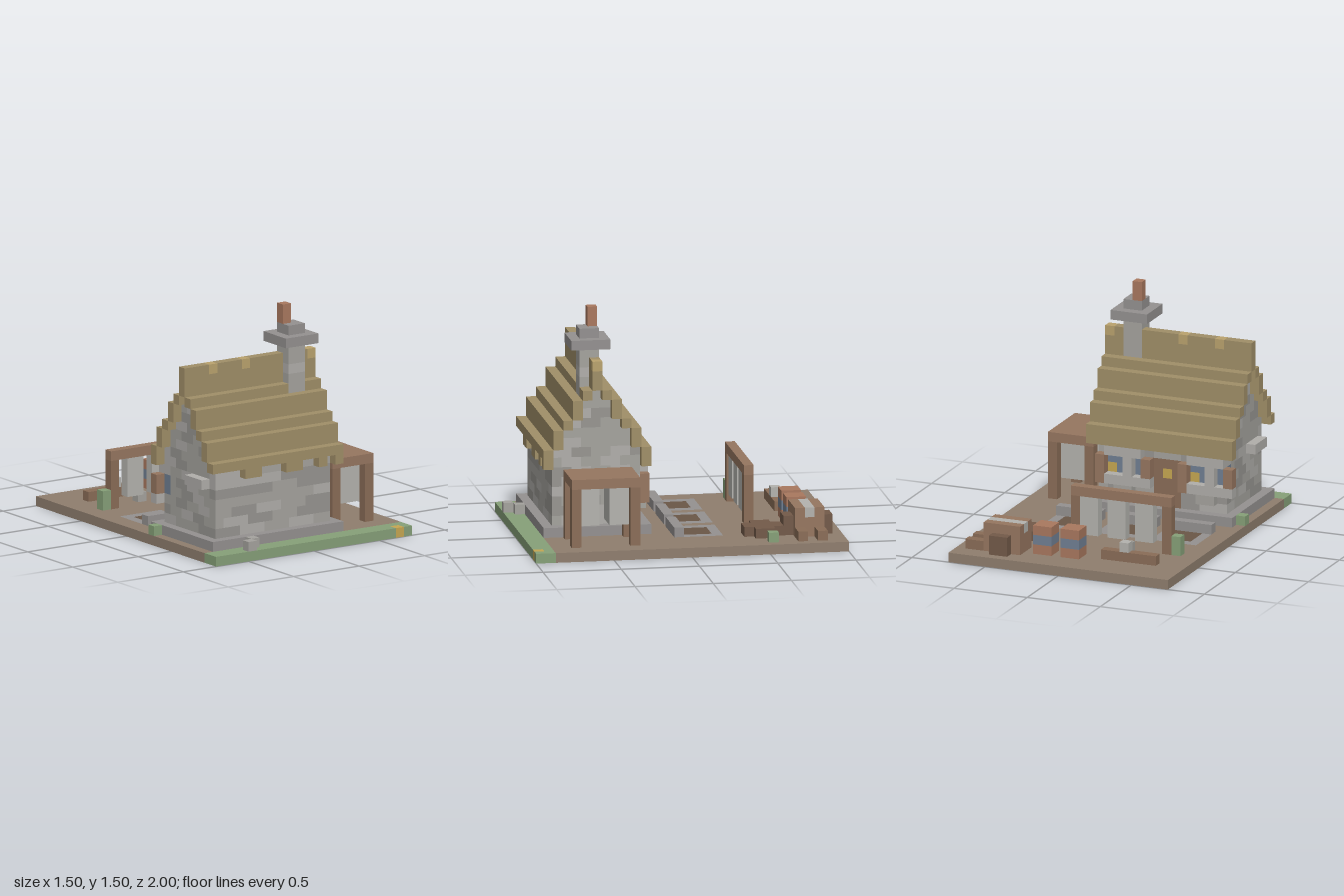
import * as THREE from 'three';

const U = 1 / 16; // size of one block
const C = {
  dirt: 0x8f7e6e, grass: 0x86a078, pit: 0x6b5747, stone: 0xa5a39e, stoneLight: 0xb0aeaa, stoneDark: 0x979591,
  slab: 0x949190, thatch: 0xa08f68, straw: 0xbaa36e, wood: 0x8a6d57, plank: 0x967660, brick: 0xa9785f,
  hide: 0xb4b3ae, blue: 0x707f92, yellow: 0xc6a752, bark: 0x735a49,
};

// Six faces: outward direction and the corners, counter-clockwise from outside
const FACES = [
  [[1, 0, 0], [[1, 0, 0], [1, 1, 0], [1, 1, 1], [1, 0, 1]]],
  [[-1, 0, 0], [[0, 0, 0], [0, 0, 1], [0, 1, 1], [0, 1, 0]]],
  [[0, 1, 0], [[0, 1, 0], [0, 1, 1], [1, 1, 1], [1, 1, 0]]],
  [[0, -1, 0], [[0, 0, 0], [1, 0, 0], [1, 0, 1], [0, 0, 1]]],
  [[0, 0, 1], [[0, 0, 1], [1, 0, 1], [1, 1, 1], [0, 1, 1]]],
  [[0, 0, -1], [[0, 0, 0], [0, 1, 0], [1, 1, 0], [1, 0, 0]]],
];

export function createModel() {
  const blocks = new Map();
  const key = (x, y, z) => `${x},${y},${z}`;

  // Fill a range of blocks with a part; colour may be a rule of position
  function fill(part, color, x0, x1, y0, y1, z0, z1) {
    for (let x = x0; x < x1; x++)
      for (let y = y0; y < y1; y++)
        for (let z = z0; z < z1; z++) {
          const c = typeof color === 'function' ? color(x, y, z) : color;
          blocks.set(key(x, y, z), { part, c, p: [x, y, z] });
        }
  }

  // Irregular masonry shades
  const masonry = (x, y, z) => {
    const s = Math.sin(Math.floor((x + y * 2) / 3) * 12.9 + y * 78.2 + Math.floor((z + y) / 2) * 37.7) * 43758.5;
    const r = s - Math.floor(s);
    return r < 0.25 ? C.stoneDark : r > 0.7 ? C.stoneLight : C.stone;
  };

  // Ground
  fill('ground', C.dirt, -12, 12, 0, 1, -16, 14);
  fill('lawn', C.grass, -12, 12, 0, 1, 14, 16);
  fill('flower', C.yellow, 10, 11, 0, 1, 15, 16);

  // Three soaking pits with a raised kerb
  for (const x of [-10, -4, 2]) {
    fill('pitRim', C.slab, x, x + 5, 0, 1, -4, 1);
    fill('pit', C.pit, x + 1, x + 4, 0, 1, -3, 0);
    fill('pitKerb', C.slab, x, x + 5, 1, 2, 0, 1);
  }

  // Foundation, walls and stepped gable
  fill('foundation', C.slab, -11, 5, 1, 2, 3, 14);
  fill('walls', masonry, -10, 4, 1, 10, 4, 13);
  const steps = [[8, 10], [10, 12], [12, 13], [13, 15], [15, 16]];
  steps.forEach(([y0, y1], i) => {
    if (i) fill('gable', masonry, -10, 4, y0, y1, 3 + i, 14 - i);
    // Thatch courses on both slopes
    for (const z of [3 + i, 13 - i]) fill('thatch', C.thatch, -11, 5, y0, y1, z, z + 1);
  });
  fill('ridge', C.thatch, -11, 5, 16, 19, 8, 9);
  for (const x of [-8, -4, 1, 4]) fill('ridge', C.straw, x, x + 1, 18, 19, 8, 9);
  // Ragged eaves: the front lower edge is lifted between tufts
  for (let x = -11; x < 5; x++)
    if (![-7, -6, -2, -1, 2, 4].includes(x)) blocks.delete(key(x, 8, 13));

  // Chimney
  fill('chimney', masonry, 1, 3, 15, 22, 8, 10);
  fill('chimneyCap', C.slab, 0, 4, 20, 21, 7, 11);
  fill('chimneyTop', C.slab, 1, 3, 21, 22, 8, 10);
  fill('chimneyPot', C.brick, 1, 2, 22, 24, 8, 9);

  // Rear windows with shutters, and the door between them
  for (const x of [-10, -1]) {
    fill('windowPane', C.blue, x, x + 4, 5, 7, 4, 5);
    fill('windowLight', C.yellow, x + 3, x + 4, 5, 6, 4, 5);
    fill('lintel', C.stoneLight, x, x + 4, 7, 8, 3, 4);
    fill('mullion', C.stoneLight, x + 1, x + 2, 5, 7, 3, 4);
    for (const sx of [x - 1, x + 4]) fill('shutter', C.plank, sx, sx + 1, 4, 7, 3, 4);
    fill('sill', C.stoneLight, x - 1, x + 4, 4, 5, 3, 4);
    fill('sillBracket', C.stone, x + 1, x + 3, 3, 4, 3, 4);
  }
  fill('door', C.wood, -5, -2, 2, 7, 4, 5);
  fill('doorLamp', C.yellow, -4, -3, 5, 6, 4, 5);
  fill('sideLintel', C.stoneLight, -11, -10, 7, 8, 9, 12);

  // Side canopy with hanging hides
  fill('canopyRoof', C.plank, 5, 10, 7, 8, 5, 12);
  for (const x of [5, 9])
    for (const z of [5, 11]) fill('canopyPost', C.wood, x, x + 1, 1, 7, z, z + 1);
  for (const z of [6, 9]) fill('canopyHide', C.hide, 6, 9, 3, 7, z, z + 2);

  // Drying rack
  fill('rackBeam', C.plank, -9, 2, 6, 7, -8, -7);
  for (const x of [-9, 1]) fill('rackPost', C.wood, x, x + 1, 1, 6, -8, -7);
  for (const x of [-7, -4, -1]) fill('rackHide', C.hide, x, x + 2, 2, 6, -8, -7);

  // Barrels with a band
  for (const x of [-1, 2]) {
    fill('barrel', C.brick, x, x + 2, 1, 4, -13, -11);
    fill('barrelBand', C.blue, x, x + 2, 2, 3, -13, -11);
  }

  // Handcart with wheels and handles
  fill('cartWheels', C.bark, 6, 8, 1, 3, -15, -10);
  fill('cartBody', C.plank, 5, 9, 1, 4, -14, -11);
  fill('cartLoad', C.hide, 5, 9, 3, 4, -13, -12);
  for (const z of [-14, -12]) fill('cartHandle', C.wood, 9, 11, 1, 2, z, z + 1);

  // Hide spread on the ground
  fill('groundHide', C.bark, 5, 9, 1, 2, -9, -7);
  fill('groundHide', C.bark, 6, 8, 1, 2, -10, -6);

  // Low bench with a tool
  fill('bench', C.wood, -9, -3, 1, 2, -12, -11);
  fill('benchTool', C.hide, -6, -5, 2, 3, -12, -11);

  // Loose stones and shrubs
  for (const [x, z] of [[-8, 15], [-7, 14], [-5, -9]]) fill('looseStone', C.stone, x, x + 1, 1, 2, z, z + 1);
  for (const [x, z, h] of [[-12, 4, 1], [10, -9, 1], [-10, -8, 2]])
    fill('shrub', C.grass, x, x + 1, 1, 1 + h, z, z + 1);

  // Skin each part: only exposed faces, underside left open
  const skins = new Map();
  for (const { part, c, p } of blocks.values()) {
    const id = part + c;
    if (!skins.has(id)) skins.set(id, { part, c, pos: [], nor: [], idx: [] });
    const s = skins.get(id);
    for (const [d, corners] of FACES) {
      const n = p.map((v, i) => v + d[i]);
      if (n[1] < 0 || blocks.has(key(...n))) continue;
      const b = s.pos.length / 3;
      for (const q of corners) {
        s.pos.push(...q.map((v, i) => (v + p[i]) * U));
        s.nor.push(...d);
      }
      s.idx.push(b, b + 1, b + 2, b, b + 2, b + 3);
    }
  }

  const model = new THREE.Group();
  model.name = 'workshop';
  const parts = new Map();
  for (const { part, c, pos, nor, idx } of skins.values()) {
    if (!idx.length) continue;
    const g = new THREE.BufferGeometry();
    g.setAttribute('position', new THREE.Float32BufferAttribute(pos, 3));
    g.setAttribute('normal', new THREE.Float32BufferAttribute(nor, 3));
    g.setIndex(idx);
    const mesh = new THREE.Mesh(g, new THREE.MeshStandardMaterial({ color: c, side: THREE.DoubleSide }));
    mesh.name = part;
    if (!parts.has(part)) {
      const group = new THREE.Group();
      group.name = part;
      parts.set(part, group);
      model.add(group);
    }
    parts.get(part).add(mesh);
  }
  return model;
}
